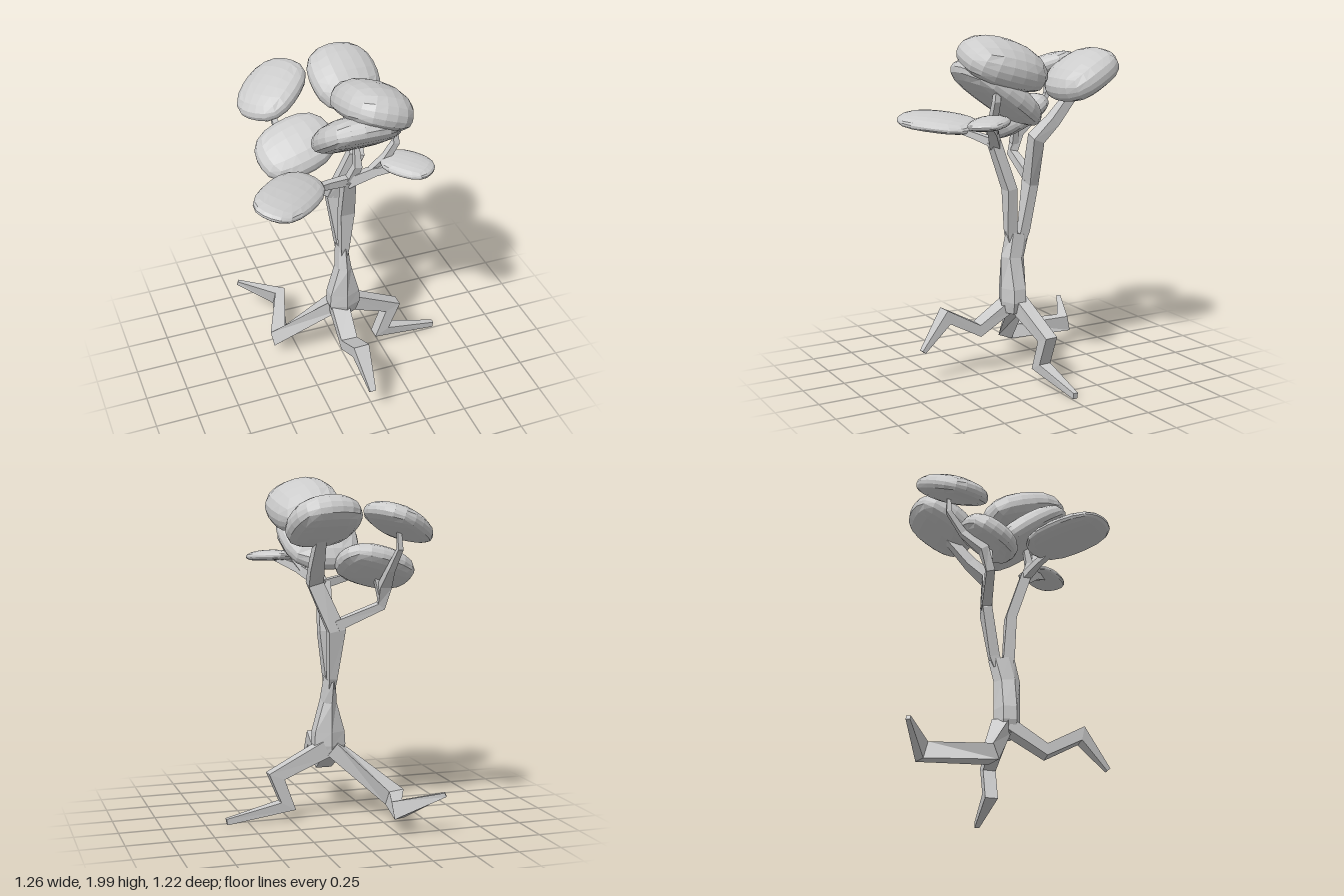
import * as THREE from 'three';

const material = new THREE.MeshStandardMaterial({ color: 0xcccccc, flatShading: true });

// Angular limb: rings of n corners along points [x, y, z, sideRadius, otherRadius]
function limb(name, ref, points, n = 4) {
  const centres = points.map(p => new THREE.Vector3(p[0], p[1], p[2]));
  const reference = new THREE.Vector3(...ref);
  const rings = points.map((p, i) => {
    const t = new THREE.Vector3();
    if (i > 0) t.add(centres[i].clone().sub(centres[i - 1]).normalize());
    if (i < points.length - 1) t.add(centres[i + 1].clone().sub(centres[i]).normalize());
    t.normalize();
    const side = reference.clone().addScaledVector(t, -reference.dot(t)).normalize();
    const other = t.clone().cross(side);
    const k = 1 / Math.cos(Math.PI / n);
    return Array.from({ length: n }, (_, j) => {
      const a = (j + 0.5) / n * Math.PI * 2;
      return centres[i].clone()
        .addScaledVector(side, Math.cos(a) * p[3] * k)
        .addScaledVector(other, Math.sin(a) * (p[4] ?? p[3]) * k);
    });
  });
  const out = [];
  const tri = (...corners) => corners.forEach(v => out.push(v.x, v.y, v.z));
  const last = rings.length - 1;
  for (let j = 0; j < n; j++) {
    const m = (j + 1) % n;
    for (let i = 0; i < last; i++) {
      tri(rings[i][j], rings[i][m], rings[i + 1][m]);
      tri(rings[i][j], rings[i + 1][m], rings[i + 1][j]);
    }
    tri(centres[0], rings[0][m], rings[0][j]);
    tri(centres[last], rings[last][j], rings[last][m]);
  }
  const geometry = new THREE.BufferGeometry();
  geometry.setAttribute('position', new THREE.Float32BufferAttribute(out, 3));
  geometry.computeVertexNormals();
  const mesh = new THREE.Mesh(geometry, material);
  mesh.name = name;
  return mesh;
}

// Foliage pad: a blunt rounded cube squashed into a cushion and tilted to a normal
function foliage(name, centre, radii, normal, yaw = 0) {
  const geometry = new THREE.BoxGeometry(2, 2, 2, 5, 5, 5);
  const pos = geometry.attributes.position;
  const v = new THREE.Vector3();
  const power = 2.5;
  for (let i = 0; i < pos.count; i++) {
    v.fromBufferAttribute(pos, i);
    v.set(Math.tan(v.x * 0.785), Math.tan(v.y * 0.785), Math.tan(v.z * 0.785));
    const sum = Math.abs(v.x) ** power + Math.abs(v.y) ** power + Math.abs(v.z) ** power;
    v.multiplyScalar(sum ** (-1 / power));
    v.y += 0.1 - 0.2 * (v.x * v.x + v.z * v.z);
    pos.setXYZ(i, v.x * radii[0], v.y * radii[1], v.z * radii[2]);
  }
  geometry.computeVertexNormals();
  const mesh = new THREE.Mesh(geometry, material);
  mesh.name = name;
  mesh.position.set(...centre);
  const up = new THREE.Vector3(0, 1, 0);
  mesh.quaternion.setFromUnitVectors(up, new THREE.Vector3(...normal).normalize())
    .multiply(new THREE.Quaternion().setFromAxisAngle(up, yaw));
  return mesh;
}

export function createModel() {
  const tree = new THREE.Group();
  tree.name = 'tree';
  const X = [1, 0, 0], Y = [0, 1, 0], Z = [0, 0, 1];

  // Trunk and the two main stems
  tree.add(
    limb('trunk', X, [
      [0, 0.36, 0.025, 0.07, 0.055], [0, 0.43, 0.025, 0.095, 0.067], [0, 0.51, 0.025, 0.09, 0.067],
      [0, 0.69, 0.025, 0.04, 0.067], [0, 0.83, -0.007, 0.025, 0.068]], 6),
    limb('frontStem', X, [
      [0, 0.78, 0.03, 0.02, 0.025], [0, 0.84, 0.035, 0.024, 0.033],
      [0.01, 1.1, 0.05, 0.042, 0.03], [-0.01, 1.38, 0.14, 0.035, 0.03]]),
    limb('backStem', X, [
      [0, 0.78, -0.03, 0.02, 0.025], [0, 0.84, -0.05, 0.024, 0.03], [-0.01, 1.12, -0.1, 0.05, 0.028],
      [0.11, 1.4, -0.07, 0.045, 0.035], [0.13, 1.5, -0.17, 0.04, 0.03], [0.15, 1.7, -0.33, 0.025]]));

  // Branches under the foliage
  tree.add(
    limb('frontRightBranch', Y, [
      [0, 1.37, 0.13, 0.025], [-0.15, 1.4, 0.18, 0.02], [-0.38, 1.45, 0.29, 0.012]]),
    limb('frontLeftBranch', Y, [
      [-0.01, 1.36, 0.13, 0.03], [0.12, 1.46, 0.22, 0.025], [0.27, 1.53, 0.33, 0.012]]),
    limb('upperFrontBranch', Z, [
      [0.1, 1.45, 0.2, 0.02], [0.17, 1.55, 0.24, 0.02], [0.22, 1.64, 0.25, 0.018], [0.21, 1.8, 0.23, 0.01]]),
    limb('middleBranch', Z, [
      [0, 1.38, 0.14, 0.025], [0.03, 1.48, 0.17, 0.022], [0.03, 1.64, 0.14, 0.012]]),
    limb('sideBranch', Z, [
      [-0.01, 1.15, -0.1, 0.03], [-0.27, 1.26, -0.13, 0.025], [-0.28, 1.38, -0.17, 0.025, 0.035],
      [-0.27, 1.48, -0.29, 0.02], [-0.29, 1.6, -0.38, 0.015], [-0.28, 1.74, -0.38, 0.01]]),
    limb('sideTwig', Z, [[-0.27, 1.32, -0.14, 0.022], [-0.22, 1.5, -0.13, 0.012]]));

  // Crooked roots
  tree.add(
    limb('leftRoot', Z, [
      [0.03, 0.41, 0, 0.04, 0.05], [0.335, 0.27, -0.015, 0.037, 0.05],
      [0.265, 0.09, -0.015, 0.037, 0.05], [0.63, 0.022, -0.02, 0.014, 0.018]]),
    limb('frontRoot', X, [
      [-0.03, 0.405, 0.03, 0.055, 0.035], [-0.04, 0.27, 0.24, 0.05, 0.035],
      [-0.045, 0.38, 0.445, 0.047, 0.042], [-0.03, 0.19, 0.6, 0.018, 0.012]]),
    limb('backRoot', Y, [
      [-0.02, 0.41, -0.01, 0.045, 0.05], [-0.36, 0.12, -0.14, 0.045, 0.055],
      [-0.25, 0.145, -0.49, 0.05, 0.04], [-0.49, 0.24, -0.6, 0.012]]));

  // Foliage pads: centre, radii, facing, yaw
  const pads = [
    ['backRightFoliage', [-0.29, 1.75, -0.36], [0.22, 0.07, 0.18], [-0.38, 0.9, 0.16], 0.66],
    ['backLeftFoliage', [0.145, 1.76, -0.345], [0.205, 0.1, 0.215], [0.08, 0.85, 0.48], 0.1],
    ['rightFoliage', [-0.23, 1.49, -0.13], [0.23, 0.08, 0.18], [-0.2, 0.8, 0.5], 0.15],
    ['middleFoliage', [0.03, 1.67, 0.14], [0.235, 0.09, 0.295], [0, 0.8, -0.58], 0],
    ['topFoliage', [0.12, 1.84, 0.15], [0.205, 0.115, 0.27], [0.33, 0.9, -0.25], 0],
    ['frontRightFoliage', [-0.405, 1.46, 0.295], [0.255, 0.043, 0.155], [0.17, 1, 0.05], 0.75],
    ['frontLeftFoliage', [0.265, 1.53, 0.32], [0.15, 0.032, 0.11], [0, 1, 0.08], -0.8]];
  pads.forEach(p => tree.add(foliage(...p)));
  return tree;
}
